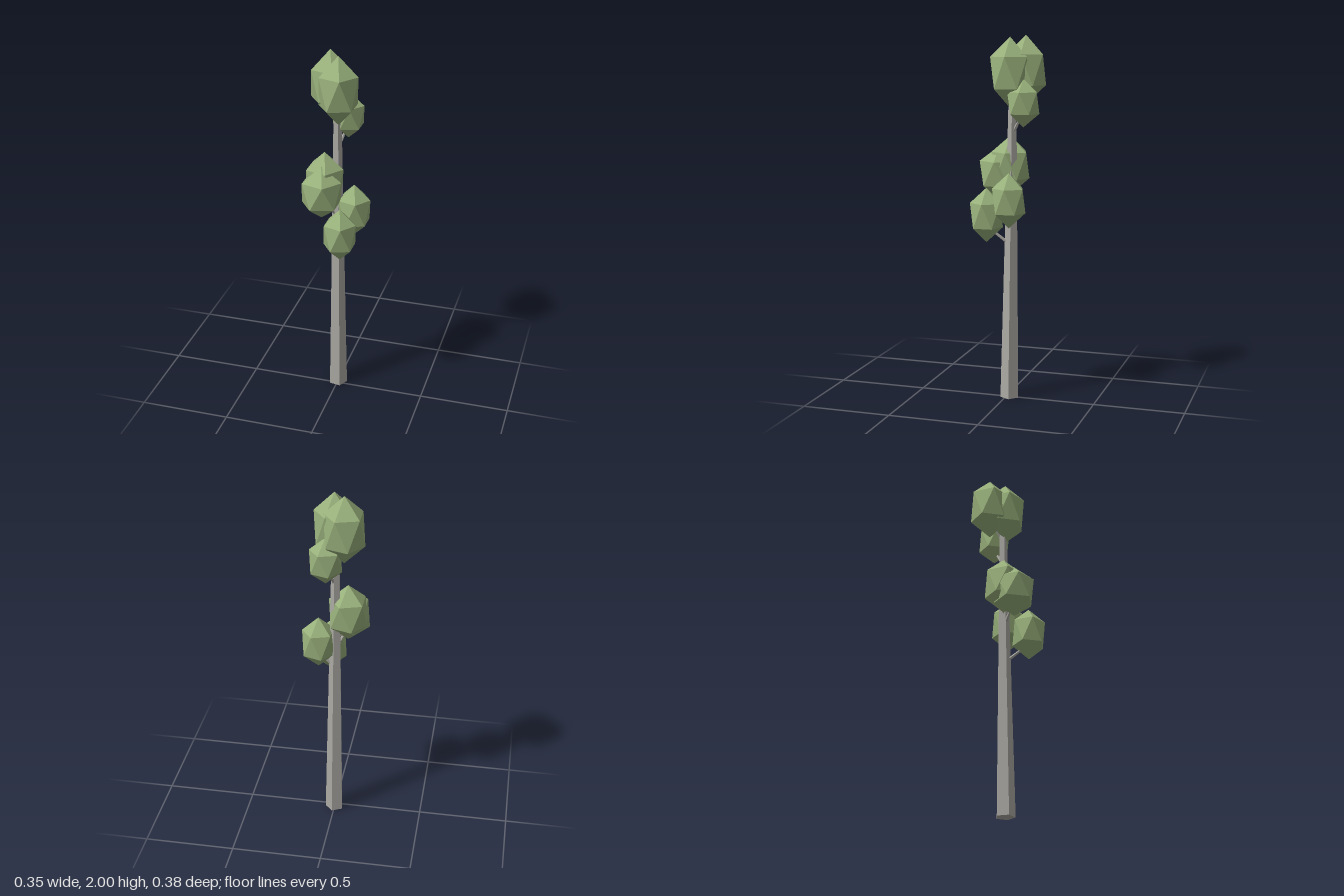
import * as THREE from 'three';
import { ConvexGeometry } from 'three/addons/geometries/ConvexGeometry.js';

const bark = new THREE.MeshStandardMaterial({ color: 0xaba9a3, flatShading: true });
bark.name = 'greyBark';
const leaf = new THREE.MeshStandardMaterial({ color: 0x98b07b, flatShading: true });
leaf.name = 'leafGreen';

// Leaf clumps: centre x, y, z, ring radius, half height, height where the branch leaves the trunk
const clumps = [
  [0.0, 1.8, -0.022, 0.108, 0.19, 1.6],
  [-0.062, 1.815, -0.092, 0.108, 0.185, 1.62],
  [0.033, 1.642, -0.105, 0.086, 0.13, 1.47],
  [-0.07, 1.295, -0.002, 0.104, 0.163, 1.12],
  [-0.07, 1.25, 0.06, 0.11, 0.15, 1.08],
  [0.085, 1.12, -0.04, 0.09, 0.15, 0.96],
  [0.043, 1.03, 0.1, 0.09, 0.15, 0.86],
];

// Twenty-sided clump standing on its point
function clumpGeometry(r, h) {
  const points = [new THREE.Vector3(0, h, 0), new THREE.Vector3(0, -h, 0)];
  for (let i = 0; i < 10; i++) {
    const a = (i * Math.PI) / 5;
    const side = i % 2 === 0 ? 1 : -1;
    points.push(new THREE.Vector3(r * Math.cos(a), side * 0.447 * h, r * Math.sin(a)));
  }
  return new ConvexGeometry(points);
}

// Centre line of the slightly leaning trunk
const trunkHeight = 1.75;
const trunkCentre = (y) =>
  new THREE.Vector3(-0.009 * (y / trunkHeight), y, -0.02 - 0.014 * (y / trunkHeight));

// Thin tapered stick between two points
function stick(from, to, r0, r1) {
  const dir = to.clone().sub(from);
  const geo = new THREE.CylinderGeometry(r1, r0, dir.length(), 5);
  const mesh = new THREE.Mesh(geo, bark);
  mesh.position.copy(from).add(to).multiplyScalar(0.5);
  mesh.quaternion.setFromUnitVectors(new THREE.Vector3(0, 1, 0), dir.normalize());
  return mesh;
}

export function createModel() {
  const tree = new THREE.Group();
  tree.name = 'tree';

  // Five-sided trunk, sheared to follow its lean
  const geo = new THREE.CylinderGeometry(0.021, 0.053, trunkHeight, 5, 1, false, 0.454);
  geo.translate(0, trunkHeight / 2, 0);
  const pos = geo.attributes.position;
  for (let i = 0; i < pos.count; i++) {
    const c = trunkCentre(pos.getY(i));
    pos.setXYZ(i, pos.getX(i) + c.x, pos.getY(i), pos.getZ(i) + c.z);
  }
  geo.computeVertexNormals();
  const trunk = new THREE.Mesh(geo, bark);
  trunk.name = 'trunk';
  tree.add(trunk);

  // Leaf clumps, each on its own branch
  clumps.forEach(([x, y, z, r, h, start], i) => {
    const clump = new THREE.Mesh(clumpGeometry(r, h), leaf);
    clump.position.set(x, y, z);
    clump.name = `leafClump${i + 1}`;
    const branch = stick(trunkCentre(start), new THREE.Vector3(x, y - h * 0.4, z), 0.01, 0.006);
    branch.name = `branch${i + 1}`;
    tree.add(clump, branch);
  });
  return tree;
}
